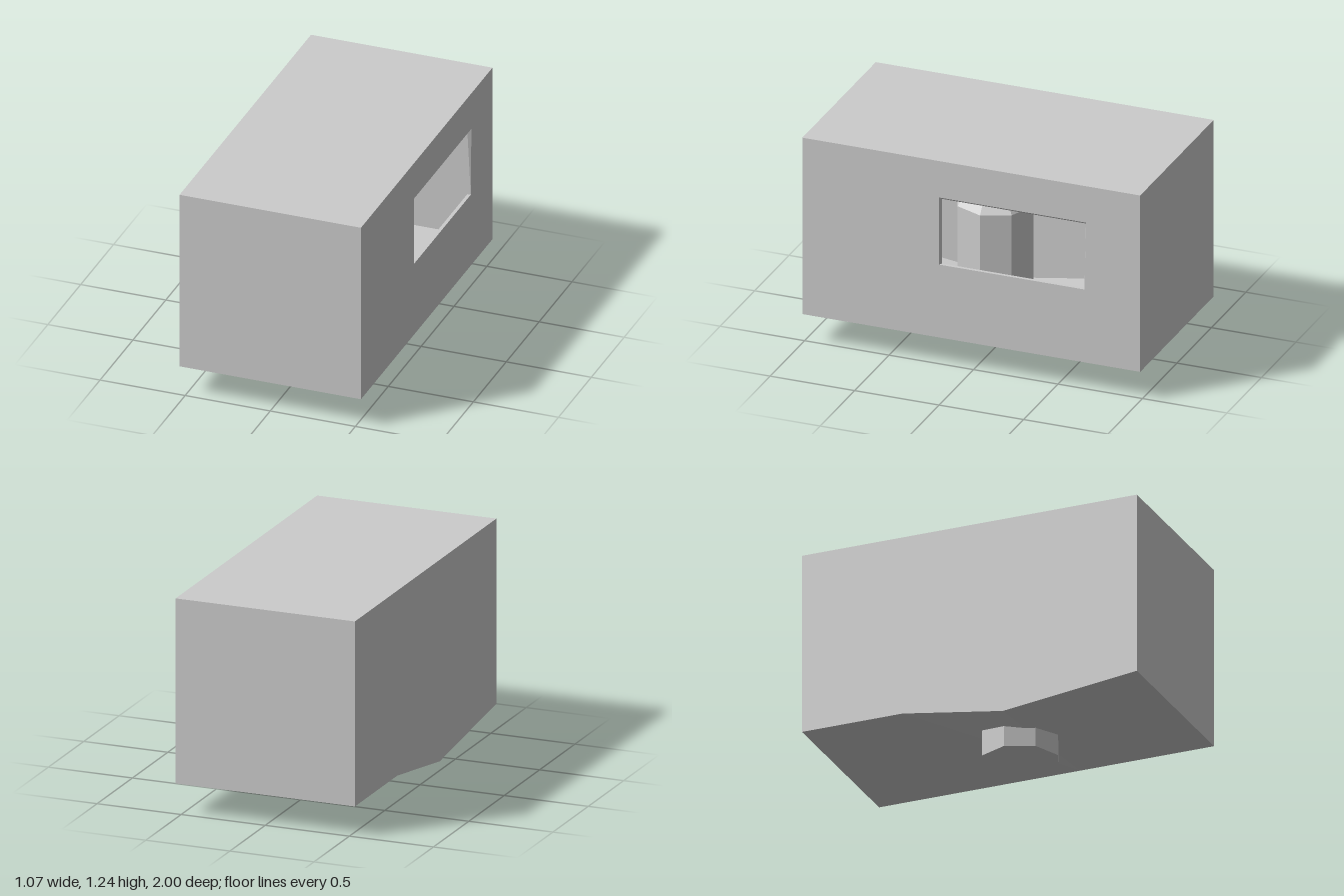
import * as THREE from 'three';

const W = 0.533, L = 1, BASE = 0.175, TOP = 1.24;

export function createModel() {
  const group = new THREE.Group();
  const material = new THREE.MeshStandardMaterial({
    color: 0xcccccc, flatShading: true, side: THREE.DoubleSide,
  });

  const add = (name, geometry) => {
    const mesh = new THREE.Mesh(geometry, material);
    mesh.name = name;
    group.add(mesh);
    return mesh;
  };
  const vectors = (points) => points.map(([x, y]) => new THREE.Vector2(x, y));

  // Strip of quads between two matching rows of points
  const strip = (rowA, rowB) => {
    const positions = [];
    for (let i = 0; i < rowA.length - 1; i++) {
      const [a, b, c, d] = [rowA[i], rowA[i + 1], rowB[i + 1], rowB[i]];
      positions.push(...a, ...b, ...c, ...a, ...c, ...d);
    }
    const geometry = new THREE.BufferGeometry();
    geometry.setAttribute('position', new THREE.Float32BufferAttribute(positions, 3));
    geometry.computeVertexNormals();
    return geometry;
  };

  // Underside profile along z: level on the left, sagging on the right
  const sag = [[-L, BASE], [-0.4, BASE], [0.2, 0.08], [L, BASE]];

  // Roof and end walls
  add('roof', strip([[-W, TOP, L], [W, TOP, L]], [[-W, TOP, -L], [W, TOP, -L]]));
  add('frontWall', strip([[-W, BASE, L], [W, BASE, L]], [[-W, TOP, L], [W, TOP, L]]));
  add('backWall', strip([[W, BASE, -L], [-W, BASE, -L]], [[W, TOP, -L], [-W, TOP, -L]]));

  // Folded floor
  add('floor', strip(
    sag.map(([z, y]) => [-W, y, z]),
    sag.map(([z]) => [W, BASE, z]),
  ));

  // Right wall follows the sagging floor edge
  const rightShape = new THREE.Shape(vectors([...sag, [L, TOP], [-L, TOP]]));
  const rightWall = new THREE.ShapeGeometry(rightShape).rotateY(-Math.PI / 2);
  add('rightWall', rightWall.translate(-W, 0, 0));

  // Left wall with window opening, corners as [z, y]
  const outer = [[0.19, 0.615], [-0.67, 0.615], [-0.68, 1.02], [0.19, 1.02]];
  const inner = [[0.18, 0.615], [-0.67, 0.615], [-0.67, 1.005], [0.18, 1.005]];
  const leftShape = new THREE.Shape(vectors([[-L, BASE], [L, BASE], [L, TOP], [-L, TOP]]));
  leftShape.holes.push(new THREE.Path(vectors(outer.map(([z, y]) => [-z, y]))));
  const leftWall = new THREE.ShapeGeometry(leftShape).rotateY(Math.PI / 2);
  add('leftWall', leftWall.translate(W, 0, 0));

  // Thin tapered window reveal
  const loop = (corners, x) => [...corners, corners[0]].map(([z, y]) => [x, y, z]);
  add('windowReveal', strip(loop(outer, W), loop(inner, W - 0.02)));

  // Eight-sided post with a faceted dome, passing through the floor
  const profile = [[0, 0], [0.226, 0], [0.226, 0.778], [0.136, 0.896], [0, 0.938]];
  const post = add('domedPost', new THREE.LatheGeometry(vectors(profile), 8));
  post.position.set(-0.045, 0, 0.092);

  return group;
}
